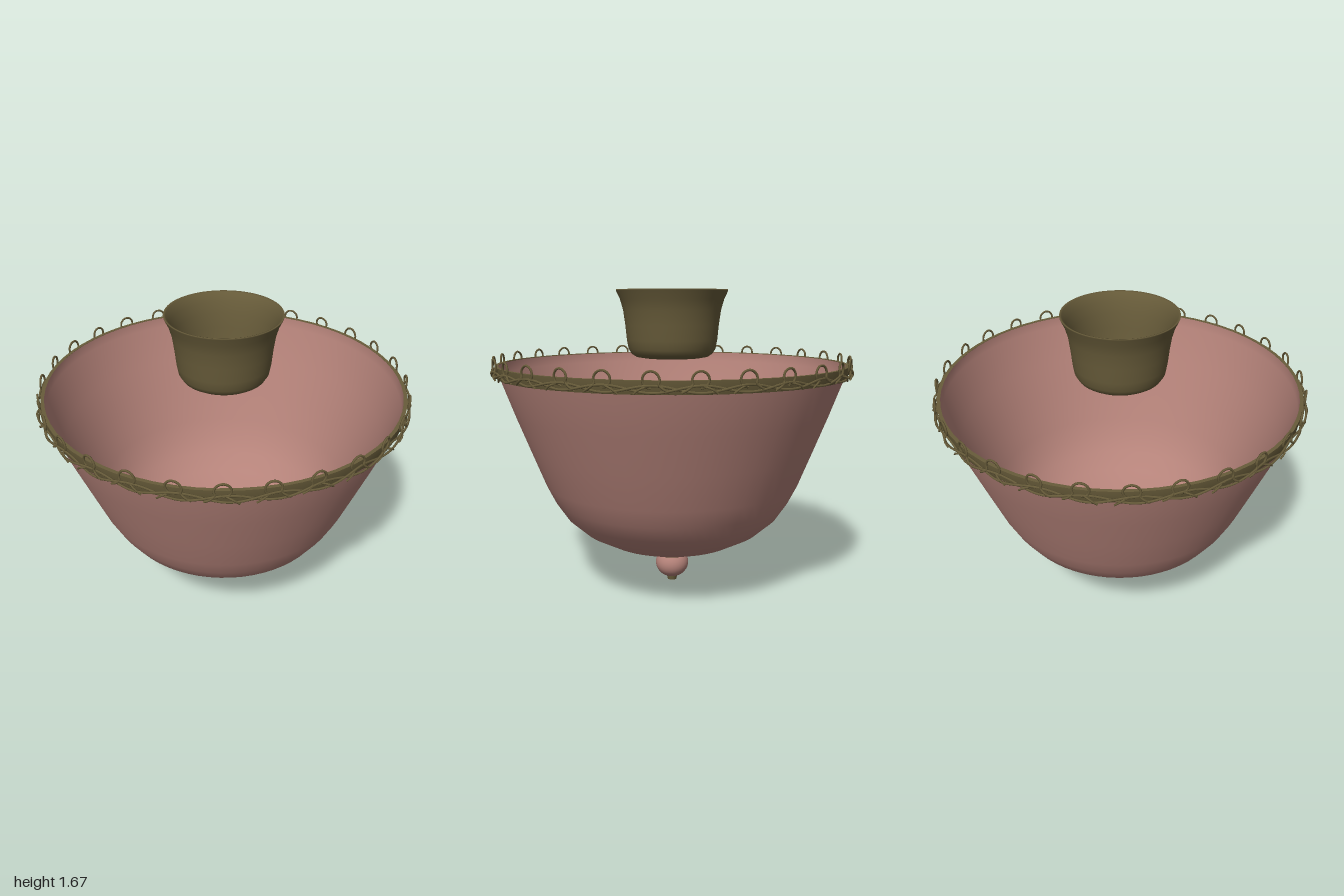
import * as THREE from 'three';

const pink = new THREE.MeshStandardMaterial({ name: 'pinkGlass', color: 0xb48279, side: THREE.DoubleSide });
const bronze = new THREE.MeshStandardMaterial({ name: 'oliveBronze', color: 0x685c3a, side: THREE.DoubleSide });

const CURLS = 28;

// Surface of revolution from [radius, height] pairs, listed from bottom to top on the outside
function turned(name, points, material, segments = 64) {
  const profile = points.map(([r, y]) => new THREE.Vector2(r, y));
  const mesh = new THREE.Mesh(new THREE.LatheGeometry(profile, segments), material);
  mesh.name = name;
  return mesh;
}

// Point on the rim at an angle measured from the front
function onRim(angle, radius, y) {
  return new THREE.Vector3(Math.sin(angle) * radius, y, Math.cos(angle) * radius);
}

function wire(name, points, radius, segments, closed = false) {
  const curve = new THREE.CatmullRomCurve3(points, closed);
  const mesh = new THREE.Mesh(new THREE.TubeGeometry(curve, segments, radius, 5, closed), bronze);
  mesh.name = name;
  return mesh;
}

// Wavy stem running all the way round the rim
function vine(name, phase) {
  const points = [];
  const n = CURLS * 6;
  for (let i = 0; i < n; i++) {
    const a = (i / n) * Math.PI * 2;
    const w = a * CURLS / 2 + phase;
    points.push(onRim(a, 0.976 + 0.01 * Math.cos(w), 1.232 + 0.016 * Math.sin(w)));
  }
  return wire(name, points, 0.006, n * 2, true);
}

// One open curl standing on the rim, with a short side shoot
function curl(angle, side) {
  const group = new THREE.Group();
  group.name = 'rimCurl';
  const points = [onRim(angle - side * 0.085, 0.98, 1.218), onRim(angle - side * 0.06, 0.985, 1.232)];
  for (let i = 0; i <= 10; i++) {
    const t = i / 10;
    const turn = Math.PI * (1.15 - 1.65 * t);
    const r = 0.042 - 0.006 * t;
    points.push(onRim(angle + side * Math.cos(turn) * r, 0.98 - 0.012 * t, 1.272 + Math.sin(turn) * r));
  }
  group.add(wire('curlWire', points, 0.006, 32));
  group.add(wire('sideShoot', [
    onRim(angle + side * 0.01, 0.972, 1.245),
    onRim(angle + side * 0.05, 0.99, 1.232),
    onRim(angle + side * 0.075, 0.985, 1.212),
  ], 0.005, 6));
  return group;
}

export function createModel() {
  const model = new THREE.Group();
  model.name = 'ceilingBowlLamp';

  // Open glass bowl
  model.add(turned('bowl', [
    [0, 0.195], [0.12, 0.197], [0.22, 0.212], [0.38, 0.265], [0.51, 0.335], [0.605, 0.42],
    [0.665, 0.51], [0.715, 0.61], [0.79, 0.8], [0.868, 1.0], [0.945, 1.21], [0.951, 1.266],
  ], pink));

  // Metal band around the rim, square edged
  model.add(turned('rimBandOutside', [[0.947, 1.205], [0.96, 1.207], [0.967, 1.27]], bronze));
  model.add(turned('rimBandTop', [[0.967, 1.27], [0.948, 1.27]], bronze));

  // Vine ornament
  model.add(vine('vineStem', 0), vine('crossingVineStem', Math.PI));
  for (let i = 0; i < CURLS; i++) {
    model.add(curl(((i + 0.5) / CURLS) * Math.PI * 2, i % 2 ? 1 : -1));
  }

  // Hollow ceiling cup floating above the bowl
  model.add(turned('ceilingCup', [
    [0, 1.3], [0.165, 1.3], [0.2, 1.306], [0.225, 1.322], [0.242, 1.35], [0.251, 1.4],
    [0.259, 1.48], [0.27, 1.56], [0.287, 1.62], [0.308, 1.665], [0.308, 1.672],
    [0.296, 1.668], [0.276, 1.62], [0.259, 1.56], [0.248, 1.48], [0.24, 1.4],
    [0.23, 1.355], [0.21, 1.325], [0.17, 1.312], [0, 1.312],
  ], bronze));

  // Finial under the bowl
  model.add(turned('finialPlateSide', [[0.122, 0.17], [0.134, 0.177], [0.134, 0.198]], bronze, 40));
  model.add(turned('finialPlateBottom', [[0, 0.17], [0.122, 0.17]], bronze, 40));
  const ball = new THREE.Mesh(new THREE.SphereGeometry(0.095, 32, 20), pink);
  ball.name = 'finialBall';
  ball.scale.y = 0.9;
  ball.position.y = 0.104;
  model.add(ball);
  const nub = new THREE.Mesh(new THREE.CylinderGeometry(0.032, 0.026, 0.03, 20), bronze);
  nub.name = 'finialTip';
  nub.position.y = 0.015;
  model.add(nub);

  model.position.set(0.005, 0, 0.003);
  return model;
}
